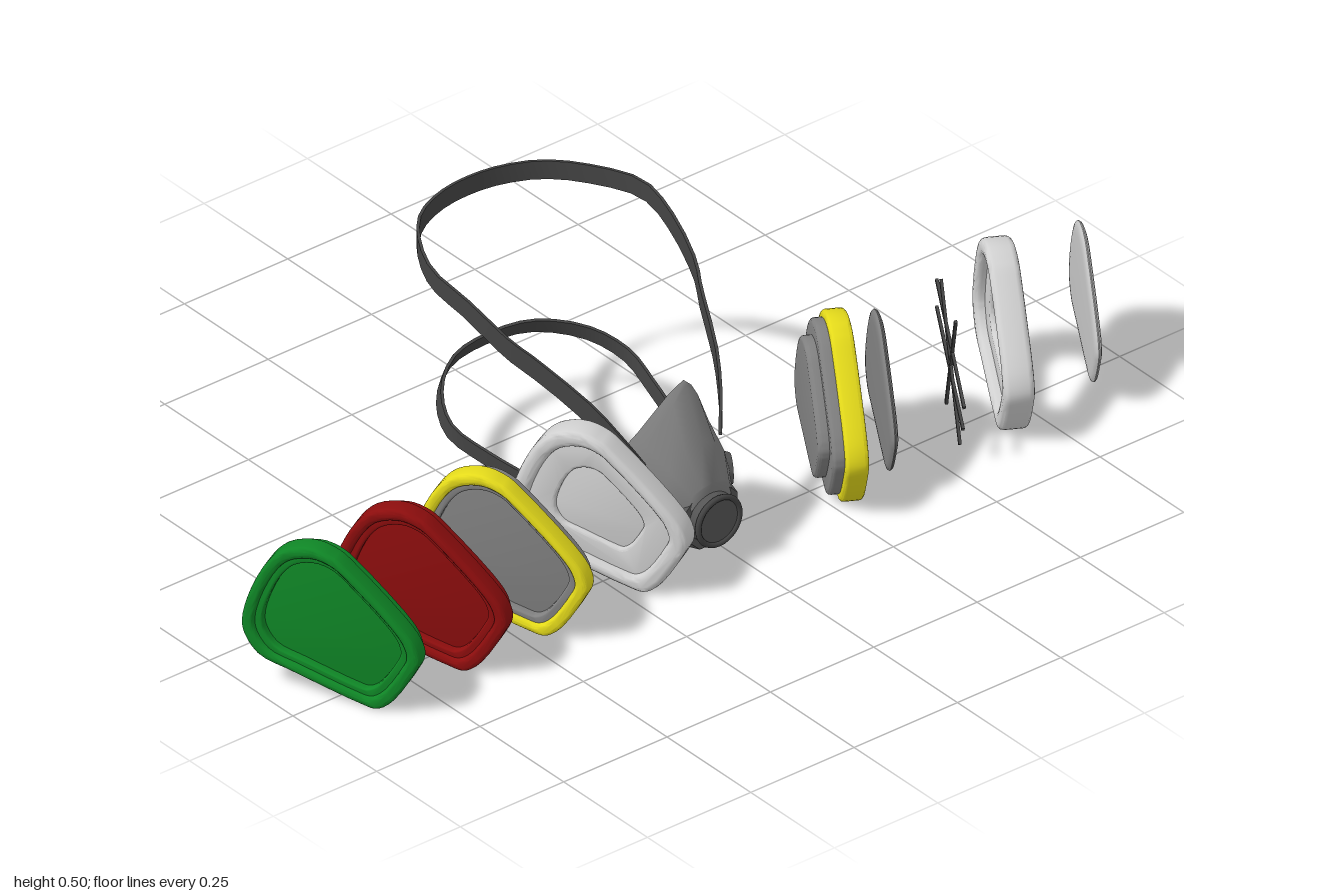
import * as THREE from 'three';
import { toCreasedNormals } from 'three/addons/utils/BufferGeometryUtils.js';

const mat = (name, color, side = THREE.FrontSide) => {
  const m = new THREE.MeshStandardMaterial({ color, side });
  m.name = name;
  return m;
};

// Cartridge outline as (z, y)
const OUTLINE = [[.406, .124], [.393, .091], [.35, .022], [.324, .005], [.296, .009], [.165, .048],
  [.1, .07], [.072, .109], [.067, .141], [.083, .207], [.117, .278], [.148, .311], [.198, .326],
  [.241, .315], [.274, .289], [.378, .185], [.4, .152]];
const TILT = THREE.MathUtils.degToRad(61), MID_Z = .235, MID_Y = .165, CENTRE_X = -.05;

function outlinePoints(side, scale) {
  const pts = OUTLINE.map(([z, y]) =>
    new THREE.Vector3(side * (MID_Z - z) * 1.06 * scale, (y - MID_Y) * 1.015 * scale, 0));
  return new THREE.CatmullRomCurve3(pts, true).getPoints(56).slice(0, -1)
    .map(p => new THREE.Vector2(p.x, p.y));
}

// Rounded plate between two depths, with an optional similar opening
function plate(name, side, scale, hole, back, front, material, bevel = .008, bevelSize = bevel) {
  const shape = new THREE.Shape(outlinePoints(side, scale));
  if (hole) shape.holes.push(new THREE.Path(outlinePoints(side, hole).reverse()));
  const geo = new THREE.ExtrudeGeometry(shape, {
    depth: front - back - 2 * bevel, bevelEnabled: true, bevelSize,
    bevelThickness: bevel, bevelOffset: -bevelSize, bevelSegments: 3,
  });
  geo.translate(0, 0, back + bevel);
  const mesh = new THREE.Mesh(toCreasedNormals(geo, .6), material);
  mesh.name = name;
  return mesh;
}

// Group whose local +z points outward on the given side
function station(name, side, x, ...parts) {
  const g = new THREE.Group();
  g.name = name;
  g.position.set(x - side * .008, MID_Y, .25);
  g.rotation.y = side * TILT;
  g.add(...parts);
  return g;
}

// Skin over closed rings of points, optionally closed at the last ring
function loft(rings, cap) {
  const n = rings[0].length, pos = [], index = [];
  rings.forEach(r => r.forEach(p => pos.push(p.x, p.y, p.z)));
  for (let r = 0; r < rings.length - 1; r++) {
    for (let i = 0; i < n; i++) {
      const a = r * n + i, b = r * n + (i + 1) % n;
      index.push(a, a + n, b, b, a + n, b + n);
    }
  }
  if (cap) {
    const last = (rings.length - 1) * n;
    for (let i = 1; i < n - 1; i++) index.push(last, last + i + 1, last + i);
  }
  const geo = new THREE.BufferGeometry();
  geo.setAttribute('position', new THREE.Float32BufferAttribute(pos, 3));
  geo.setIndex(index);
  geo.computeVertexNormals();
  return geo;
}

// Flat band along a half path mirrored across the mask's centre
function strap(name, half, up, width, material) {
  const pts = [...half.slice(1).reverse().map(([x, y, z]) => [-x, y, z]), ...half]
    .map(([x, y, z]) => new THREE.Vector3(CENTRE_X + x, y, z));
  const curve = new THREE.CatmullRomCurve3(pts), rings = [], N = 48;
  for (let i = 0; i <= N; i++) {
    const p = curve.getPoint(i / N), t = curve.getTangent(i / N);
    const w = up.clone().addScaledVector(t, -up.dot(t)).normalize();
    const s = t.clone().cross(w);
    rings.push([[1, 1], [1, -1], [-1, -1], [-1, 1]].map(([a, b]) =>
      p.clone().addScaledVector(w, a * width / 2).addScaledVector(s, b * .003)));
  }
  const mesh = new THREE.Mesh(toCreasedNormals(loft(rings, false), .6), material);
  mesh.name = name;
  return mesh;
}

// Face cup sections, right half from top to bottom, running rim to nose
const CUP = [
  [[0, .367, .243], [.028, .34, .232], [.068, .25, .19], [.113, .15, .135], [.11, .08, .13], [.07, .01, .135], [0, .005, .14]],
  [[0, .357, .25], [.03, .325, .25], [.075, .24, .225], [.115, .15, .2], [.11, .08, .2], [.068, .022, .2], [0, .018, .21]],
  [[0, .257, .3], [.035, .24, .295], [.065, .205, .285], [.088, .15, .27], [.083, .08, .265], [.055, .035, .265], [0, .03, .27]],
  [[0, .18, .33], [.025, .178, .33], [.045, .165, .325], [.055, .13, .325], [.05, .08, .32], [.03, .055, .315], [0, .05, .315]],
];

export function createModel() {
  const root = new THREE.Group();
  root.name = 'respirator';
  const green = mat('green', 0x0f8626), red = mat('red', 0x8c0d0d), yellow = mat('yellow', 0xe4da1a);
  const white = mat('white', 0xd0d0d0), pale = mat('paleGrey', 0xc4c4c4), grey = mat('grey', 0x808080);
  const rubber = mat('rubber', 0x7e7e7e, THREE.DoubleSide), dark = mat('dark', 0x555555);
  const band = mat('strapBlack', 0x444444, THREE.DoubleSide);

  // Stepped cartridges with a lined, recessed outer face
  const cartridge = (name, side, x, rim, body) => station(name, side, x,
    plate('rim', side, 1, .86, -.045, 0, rim),
    plate('lining', side, .89, .78, -.04, -.01, body, .004),
    plate('body', side, .92, 0, -.068, -.026, body),
    plate('innerStep', side, .74, 0, -.09, -.05, body));
  root.add(
    cartridge('greenCartridge', -1, -.922, green, green),
    cartridge('redCartridge', -1, -.71, red, red),
    cartridge('rightYellowCartridge', -1, -.515, yellow, grey),
    cartridge('leftYellowCartridge', 1, .363, yellow, grey));

  // Retainer frames, the right one closed by its pane
  const frame = side => [
    plate('frameRim', side, 1, .8, -.06, 0, white, .012),
    plate('frameFace', side, .84, .5, -.04, -.014, white, .006)];
  root.add(
    station('rightRetainer', -1, -.276, ...frame(-1),
      plate('retainerPane', -1, .56, 0, -.036, -.024, white, .003)),
    station('leftRetainer', 1, .765, ...frame(1)));

  // Loose lens-shaped filter discs
  root.add(
    station('darkFilter', 1, .437, plate('filterPad', 1, .84, 0, -.012, .004, grey, .007, .022)),
    station('paleFilter', 1, .93, plate('filterPad', 1, .84, 0, -.012, .004, pale, .007, .022)));

  // Crossed wires, ends given as (z, y)
  const wires = [[.28, .275, .19, .03], [.14, .27, .32, .03], [.36, .14, .1, .24], [.35, .085, .1, .18]]
    .map(([z0, y0, z1, y1]) => {
      const a = new THREE.Vector2((MID_Z - z0) * 1.14, y0 - MID_Y);
      const b = new THREE.Vector2((MID_Z - z1) * 1.14, y1 - MID_Y);
      const m = new THREE.Mesh(new THREE.BoxGeometry(a.distanceTo(b), .007, .006), band);
      m.position.set((a.x + b.x) / 2, (a.y + b.y) / 2, 0);
      m.rotation.z = Math.atan2(b.y - a.y, b.x - a.x);
      m.name = 'wire';
      return m;
    });
  root.add(station('wireGrid', 1, .6, ...wires));

  // Face cup
  const rings = CUP.map(half => [...half, ...half.slice(1, -1).reverse().map(([x, y, z]) => [-x, y, z])]
    .map(([x, y, z]) => new THREE.Vector3(CENTRE_X + x, y, z)));
  const cup = new THREE.Mesh(loft(rings, true), rubber);
  cup.name = 'faceCup';
  root.add(cup);

  // Front valve housing, ring and cover
  const disc = (name, r0, r1, depth, z, sides, material) => {
    const geo = new THREE.CylinderGeometry(r0, r1, depth, sides);
    geo.rotateY(Math.PI / sides).rotateX(Math.PI / 2);
    const m = new THREE.Mesh(toCreasedNormals(geo, .6), material);
    m.name = name;
    m.position.set(CENTRE_X, .105, z);
    return m;
  };
  root.add(disc('valveHousing', .07, .082, .045, .303, 8, dark),
    disc('valveCover', .048, .055, .04, .33, 32, dark));
  const ring = new THREE.Mesh(new THREE.TorusGeometry(.05, .006, 8, 32), band);
  ring.name = 'valveRing';
  ring.position.set(CENTRE_X, .105, .349);
  root.add(ring);

  // Side inlet ports
  for (const side of [-1, 1]) {
    const port = disc('inletPort', .03, .036, .016, .246, 24, dark);
    port.position.x += side * .103;
    port.position.y = .13;
    port.rotation.y = side * TILT;
    root.add(port);
  }

  // Head and neck straps
  root.add(
    strap('headStrap', [[0, .48, -.403], [.075, .48, -.393], [.15, .48, -.357], [.21, .48, -.285], [.253, .477, -.19],
      [.247, .455, -.1], [.225, .405, 0], [.2, .375, .05], [.155, .31, .15], [.125, .25, .2], [.1, .2, .23]],
    new THREE.Vector3(0, 1, 0), .04, band),
    strap('neckStrap', [[0, .173, -.34], [.1, .168, -.325], [.18, .15, -.262], [.213, .125, -.19],
      [.2, .105, -.1], [.175, .088, 0], [.145, .07, .1], [.118, .06, .18], [.1, .06, .22]],
    new THREE.Vector3(0, .92, .4), .034, band));
  return root;
}
